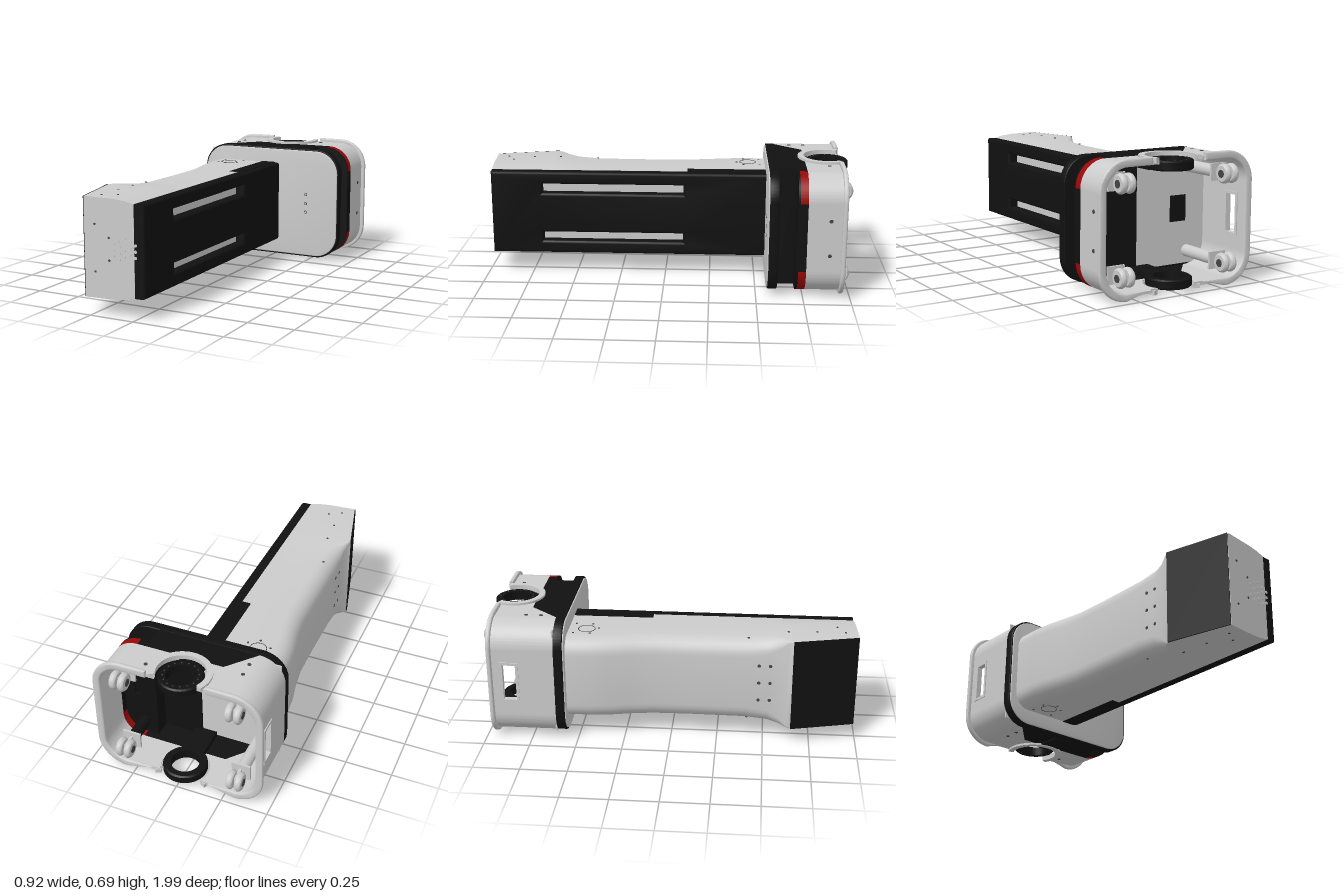
import * as THREE from 'three';
import { toCreasedNormals } from 'three/addons/utils/BufferGeometryUtils.js';

const CY = 0.345; // height of the horizontal symmetry plane
const mat = (color) => new THREE.MeshStandardMaterial({ color, side: THREE.DoubleSide });

export function createModel() {
  const root = new THREE.Group();
  const grey = mat(0xcccccc), black = mat(0x111111), red = mat(0x990808), dark = mat(0x444444);

  const add = (name, geo, m, x = 0, y = 0, z = 0, parent = root) => {
    const mesh = new THREE.Mesh(geo, m);
    mesh.name = name;
    mesh.position.set(x, y, z);
    parent.add(mesh);
    return mesh;
  };
  const box = (name, m, x0, x1, y0, y1, z0, z1) =>
    add(name, new THREE.BoxGeometry(x1 - x0, y1 - y0, z1 - z0), m, (x0 + x1) / 2, (y0 + y1) / 2, (z0 + z1) / 2);
  const extrude = (shape, depth, bevel = 0) => toCreasedNormals(new THREE.ExtrudeGeometry(shape, {
    depth: depth - 2 * bevel, curveSegments: 16, bevelEnabled: bevel > 0,
    bevelThickness: bevel, bevelSize: bevel, bevelOffset: -bevel, bevelSegments: 3,
  }).translate(0, 0, bevel), 0.6);
  const poly = (pts) => new THREE.Shape(pts.map((p) => new THREE.Vector2(...p)));
  const rect = (x0, x1, y0, y1) => [[x0, y0], [x1, y0], [x1, y1], [x0, y1]];
  const roundRect = (w, h, r) => {
    const s = new THREE.Shape();
    [[1, -1], [1, 1], [-1, 1], [-1, -1]].forEach(([i, j], k) =>
      s.absarc(i * (w - r), CY + j * (h - r), r, (k - 1) * Math.PI / 2, k * Math.PI / 2, false));
    return s.closePath();
  };
  const disc = (name, m, r, x, y, z, axis = 'z', t = 0.004) => {
    const g = new THREE.CylinderGeometry(r, r, t, 20);
    if (axis === 'z') g.rotateX(Math.PI / 2);
    if (axis === 'x') g.rotateZ(Math.PI / 2);
    return add(name, g, m, x, y, z);
  };

  // ---- Column body: lofted sections [z, left x, half height, corner radius]
  const sections = [
    [-0.57, -0.395, 0.235, 0.09], [-0.42, -0.395, 0.235, 0.09], [-0.33, -0.385, 0.235, 0.09],
    [-0.22, -0.362, 0.235, 0.09], [-0.1, -0.344, 0.235, 0.09], [0.1, -0.34, 0.235, 0.09],
    [0.4, -0.34, 0.237, 0.09], [0.52, -0.34, 0.245, 0.08], [0.58, -0.343, 0.252, 0.05],
    [0.62, -0.355, 0.254, 0.012], [0.645, -0.365, 0.255, 0.004], [0.99, -0.28, 0.255, 0.004],
  ];
  const rings = sections.map(([z, xl, h, r], k) => {
    const half = [[0, 0.235], [-0.05, 0.235 + (h - 0.235) * 0.6], [-0.12, 0.235 + (h - 0.235) * 0.9]];
    for (let i = 0; i <= 6; i++) {
      const a = Math.PI / 2 * (1 + i / 6);
      half.push([xl + r + r * Math.cos(a), h - r + r * Math.sin(a)]);
    }
    const ring = [...half, ...half.map(([x, y]) => [x, -y]).reverse()];
    const tilt = k === sections.length - 1 ? 0.05 : 0;
    return ring.map(([x, y]) => [x, CY + y, z - (x + 0.28) * tilt]);
  });
  const n = rings[0].length, pos = rings.flat(2), idx = [];
  for (let k = 0; k < rings.length - 1; k++) for (let i = 0; i < n; i++) {
    const a = k * n + i, b = k * n + (i + 1) % n;
    idx.push(a, b, a + n, b, b + n, a + n);
  }
  const last = (rings.length - 1) * n;
  for (let i = 1; i < n - 1; i++) idx.push(last, last + i, last + i + 1);
  const loft = new THREE.BufferGeometry();
  loft.setAttribute('position', new THREE.Float32BufferAttribute(pos, 3));
  loft.setIndex(idx);
  add('columnBody', toCreasedNormals(loft, 0.5), grey);

  // Slanted screen on the head
  add('screen', new THREE.BoxGeometry(0.008, 0.508, 0.352), black, -0.323, CY, 0.8175).rotation.y = 0.247;

  // Black side cover with two long slots
  const cover = poly(rect(-0.975, 0.57, 0.11, 0.58));
  [[0.18, 0.232], [0.458, 0.512]].forEach(([a, b]) => cover.holes.push(poly(rect(-0.69, 0.1, a, b))));
  add('sideCover', extrude(cover, 0.07, 0.014).rotateY(Math.PI / 2), black, -0.012);
  box('coverStep', black, -0.05, 0.03, 0.107, 0.583, -0.57, -0.12);

  // Speaker grille and small screws
  [3, 4, 5, 4, 3].forEach((count, c) => {
    for (let i = 0; i < count; i++) {
      const x = -0.116 + c * 0.031;
      disc('speakerHole', grey, 0.008, x, CY + (i - (count - 1) / 2) * 0.031, 0.978 - (x + 0.05) * 0.05, 'z', 0.006);
    }
  });
  [[-0.22, 0.12], [-0.14, 0.057]].forEach(([x, d]) => [-1, 1].forEach((s) =>
    disc('headScrew', dark, 0.006, x, CY + s * d, 0.987 - (x + 0.22) * 0.05)));
  [0.293, CY, 0.4].forEach((y) => {
    disc('plateSocket', dark, 0.009, 0.235, y, -0.555);
    disc('plateScrew', grey, 0.006, 0.235, y, -0.554);
  });
  [-1, 1].forEach((s) => {
    const y = CY + s * 0.235;
    add('roundCap', new THREE.TorusGeometry(0.045, 0.002, 6, 32).rotateX(Math.PI / 2), dark, -0.23, y, -0.46);
    [[-0.29, -0.525], [-0.165, -0.525], [-0.29, -0.435], [-0.165, -0.435], [-0.22, -0.395], [-0.28, 0.41]].forEach(
      ([x, z]) => disc('columnScrew', dark, 0.006, x, y, z, 'y'));
    [[-0.22, 0.77], [-0.15, 0.88], [-0.22, 0.92], [-0.23, 0.62]].forEach(
      ([x, z]) => disc('headSideScrew', dark, 0.006, x, CY + s * 0.254, z, 'y'));
  });
  [-0.1, 0, 0.1].forEach((d) => [0.47, 0.53].forEach((z) =>
    disc('rearPort', dark, 0.009, -0.34, CY + d, z, 'x')));

  // ---- Base: front plate with black rim
  add('basePlate', extrude(roundRect(0.432, 0.317, 0.135), 0.01, 0.004), grey, 0, 0, -0.566);
  add('baseRim', extrude(roundRect(0.44, 0.325, 0.14), 0.05, 0.004), black, 0, 0, -0.612);

  // Base corners
  const corner = (name, m, sx, sy, z0, z1) => {
    const s = new THREE.Shape();
    const a = Math.atan2(sy, sx) - Math.PI / 4, cx = sx * 0.3, cy = CY + sy * 0.185;
    s.absarc(cx, cy, 0.14, a, a + Math.PI / 2, false);
    s.absarc(cx, cy, 0.12, a + Math.PI / 2, a, true);
    add(name, extrude(s.closePath(), z1 - z0), m, 0, 0, z0);
  };
  [-1, 1].forEach((sy) => {
    corner('baseCorner', grey, -1, sy, -0.95, -0.61);
    corner('baseCorner', grey, 1, sy, -0.95, -0.76);
    corner('lightCorner', red, 1, sy, -0.76, -0.718);
    corner('lightEdge', black, 1, sy, -0.718, -0.708);
  });

  // Base side walls, the one on -x with an open framed window
  box('sideWall', grey, 0.42, 0.44, 0.16, 0.53, -0.95, -0.76);
  box('sideBand', black, 0.42, 0.44, 0.16, 0.53, -0.76, -0.708);
  const wall = poly(rect(0.61, 0.95, 0.16, 0.53));
  wall.holes.push(poly(rect(0.81, 0.89, 0.24, 0.45)));
  add('windowWall', extrude(wall, 0.02).rotateY(Math.PI / 2), grey, -0.44);
  const frame = poly(rect(0.8, 0.9, 0.23, 0.46));
  frame.holes.push(poly(rect(0.815, 0.885, 0.245, 0.445)));
  add('windowFrame', extrude(frame, 0.03).rotateY(Math.PI / 2), grey, -0.445);
  [0.25, 0.44].forEach((y) => disc('sideScrew', dark, 0.01, 0.44, y, -0.88, 'x'));

  // Top and bottom walls, drawn in x and z around the wheel opening
  const R = 0.13, WZ = -0.885;
  const meet = Math.acos(0.125 / R), open = Math.asin(0.065 / R);
  const sidePanel = (s, far) => {
    const p = poly(far);
    const a0 = -open, a1 = Math.PI / 2 - meet;
    if (s > 0) p.absarc(0, WZ, R, a1, a0, true);
    else p.absarc(0, WZ, R, Math.PI - a1, Math.PI - a0, false);
    return p;
  };
  const leftPanel = sidePanel(1, [[0.14, -0.95], [0.3, -0.95], [0.3, -0.76]]);
  const rightPanel = sidePanel(-1, [[-0.14, -0.95], [-0.3, -0.95], [-0.3, -0.61], [-0.17, -0.76]]);
  const blackPanel = poly([[-0.17, -0.76], [-0.3, -0.61], [0.25, -0.61], [0.25, -0.708], [0.3, -0.708], [0.3, -0.76]]);
  blackPanel.absarc(0, WZ, R, Math.PI / 2 - meet, Math.PI / 2 + meet, false);
  const lip = new THREE.Shape();
  lip.absarc(0, WZ, 0.158, -0.5, Math.PI + 0.5, false);
  lip.absarc(0, WZ, 0.126, Math.PI + 0.5, -0.5, true);
  [[-1, 0.04], [1, 0.67]].forEach(([s, y]) => {
    const flat = (shape, t) => extrude(shape, t).rotateX(Math.PI / 2);
    add('wallPanelLeft', flat(leftPanel, 0.02), grey, 0, y);
    add('wallPanelRight', flat(rightPanel, 0.02), grey, 0, y);
    add('blackPanel', flat(blackPanel, 0.02), black, 0, y);
    add('wheelArch', flat(lip, 0.024), grey, 0, s > 0 ? 0.682 : 0.032);
    [[-0.28, -0.775], [-0.28, -0.695], [0.19, -0.885]].forEach(([x, z]) =>
      disc('wallScrew', dark, 0.01, x, CY + s * 0.325, z, 'y'));

    // Drive wheel ring with tread and its bracket
    const ring = [[0.076, -0.025], [0.108, -0.025], [0.116, -0.018], [0.116, 0.018], [0.108, 0.025], [0.076, 0.025], [0.076, -0.025]];
    const wy = CY + s * 0.293;
    add('driveWheel', toCreasedNormals(new THREE.LatheGeometry(ring.map((p) => new THREE.Vector2(...p)), 48), 0.6), black, 0, wy, WZ);
    for (let i = 0; i < 16; i++) {
      const a = i * Math.PI / 8;
      disc('wheelBolt', dark, 0.004, 0.09 * Math.cos(a), wy + s * 0.025, WZ + 0.09 * Math.sin(a), 'y');
    }
    box('wheelBracket', black, -0.06, 0.06, wy - 0.04, wy + 0.02, -0.785, -0.61);
  });

  // Inner decks around the open sensor slot
  box('innerFloor', grey, -0.42, 0.02, 0.05, 0.64, -0.618, -0.61);
  box('innerDeck', black, 0.02, 0.25, 0.04, 0.65, -0.63, -0.61);
  box('slotWall', black, 0.235, 0.25, 0.04, 0.65, -0.715, -0.61);
  box('floorHatch', black, -0.3, -0.2, 0.28, 0.42, -0.622, -0.616);
  const deck = poly([[0.235, 0.03], [0.33, 0.03], [0.4, 0.08], [0.43, 0.16], [0.43, 0.53], [0.4, 0.61], [0.33, 0.66], [0.235, 0.66]]);
  deck.holes.push(poly(rect(0.33, 0.36, 0.29, 0.4)));
  add('slotDeck', extrude(deck, 0.012), black, 0, 0, -0.72);

  // Bumper flange in two halves
  [-1, 1].forEach((s) => {
    const half = new THREE.Shape();
    const arc = (r, sy, a, b) => half.absarc(0.3, CY + sy * 0.185, r, a, b, b < a);
    half.moveTo(0.158, CY - 0.345);
    arc(0.16, -1, -Math.PI / 2, 0);
    arc(0.16, 1, 0, Math.PI / 2);
    half.lineTo(0.158, CY + 0.345).lineTo(0.158, CY + 0.305);
    arc(0.12, 1, Math.PI / 2, 0);
    arc(0.12, -1, 0, -Math.PI / 2);
    half.lineTo(0.158, CY - 0.305);
    const g = extrude(half, 0.024, 0.008);
    if (s < 0) g.rotateY(Math.PI).translate(0, 0, 0.024);
    add('bumperFlange', g, grey, 0, 0, -0.964);
  });

  // Twin-wheel casters
  [-1, 1].forEach((sx) => [-1, 1].forEach((sy) => {
    const c = new THREE.Group();
    c.name = 'caster';
    c.position.set(sx * 0.31, CY + sy * 0.228, -0.947);
    root.add(c);
    const tyre = [[0.001, -0.017], [0.04, -0.017], [0.048, -0.01], [0.051, 0], [0.048, 0.01], [0.04, 0.017], [0.001, 0.017]];
    [-0.023, 0.023].forEach((x) => {
      add('casterWheel', toCreasedNormals(new THREE.LatheGeometry(tyre.map((p) => new THREE.Vector2(...p)), 28).rotateZ(Math.PI / 2), 0.6), grey, x, 0, 0, c);
      add('casterHub', new THREE.CylinderGeometry(0.02, 0.02, 0.006, 20).rotateZ(Math.PI / 2), dark, x * 1.75, 0, 0, c);
    });
    add('casterFork', new THREE.BoxGeometry(0.014, 0.04, 0.075), grey, 0, 0, 0.03, c);
    add('casterPlate', new THREE.BoxGeometry(0.1, 0.09, 0.012), grey, 0, 0, 0.072, c);
    const len = sx > 0 ? 0.16 : 0.26;
    add('casterPost', new THREE.CylinderGeometry(0.032, 0.032, len, 20).rotateX(Math.PI / 2), sx > 0 ? black : grey, 0, 0, 0.07 + len / 2, c);
  }));
  return root;
}
